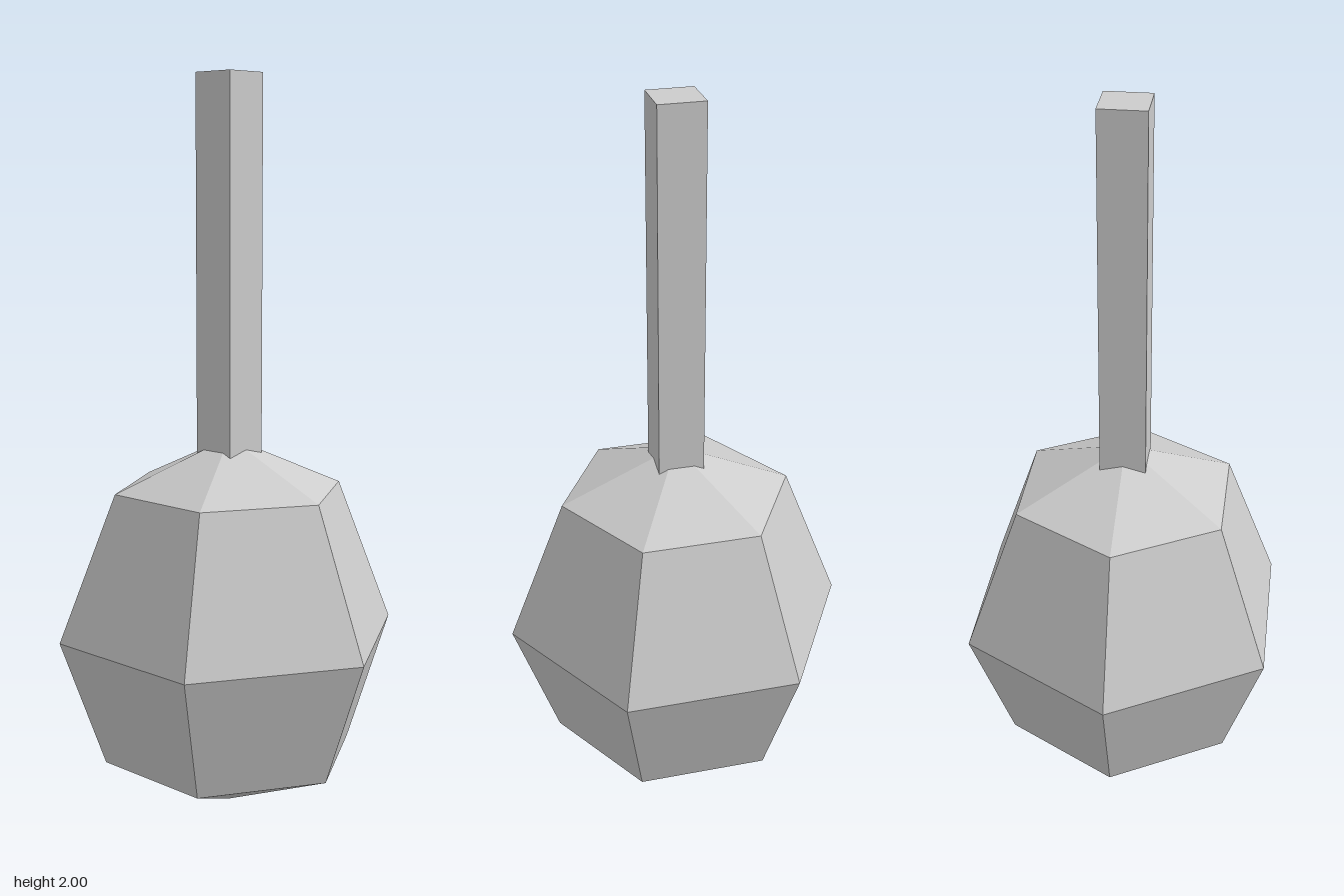
import * as THREE from 'three';

export function createModel() {
  const model = new THREE.Group();
  const grey = new THREE.MeshStandardMaterial({ color: 0xcccccc, flatShading: true });
  grey.name = 'light grey';

  // Six-sided faceted bulb, pointed at both ends, with corners on the x axis
  const profile = [[0, 0], [0.353, 0.15], [0.475, 0.5], [0.318, 0.9], [0, 1.04]]
    .map(([radius, y]) => new THREE.Vector2(radius, y));
  const bulb = new THREE.Mesh(new THREE.LatheGeometry(profile, 6, Math.PI / 2), grey);
  bulb.name = 'bulb';
  model.add(bulb);

  // Square stem rising from the top of the bulb
  const stemBottom = 0.99, stemTop = 2;
  const stem = new THREE.Mesh(new THREE.BoxGeometry(0.124, stemTop - stemBottom, 0.124), grey);
  stem.position.y = (stemBottom + stemTop) / 2;
  stem.name = 'stem';
  model.add(stem);

  return model;
}
